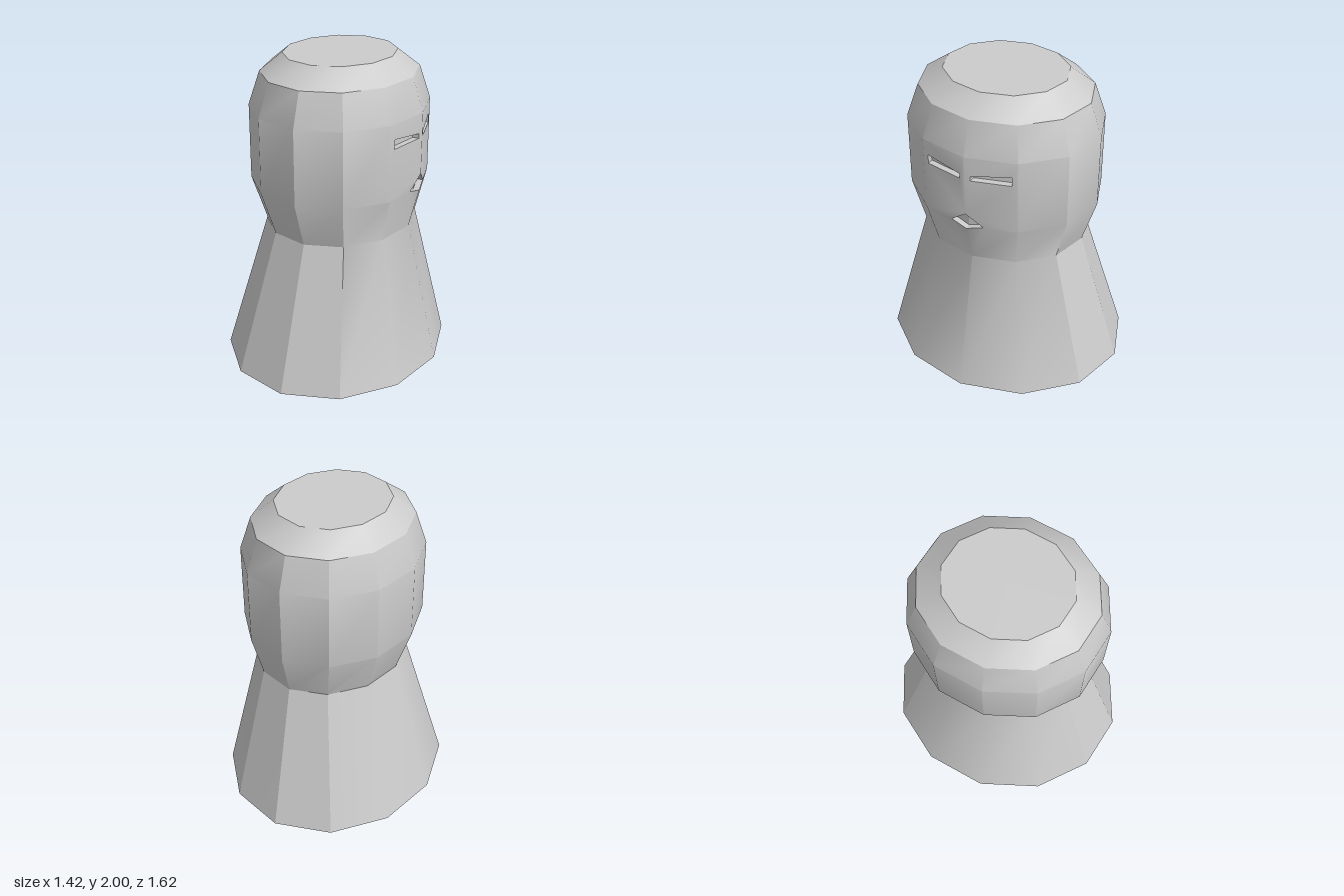
import * as THREE from 'three';
import { toCreasedNormals } from 'three/addons/utils/BufferGeometryUtils.js';

const SIDES = 12;
const PIT_DEPTH = 0.04;

// Body cross-sections: height, centre x, radius x, radius z
const rings = [
  [0, 0, 0.71, 0.81],
  [0.92, 0.032, 0.467, 0.535],
  [1.2, 0.02, 0.55, 0.62],
  [1.68, 0.02, 0.55, 0.62],
  [1.89, 0.02, 0.48, 0.545],
  [2, 0.02, 0.345, 0.39],
];

const snap = (v) => Math.round(v * 1e4) / 1e4;
const V3 = (x, y, z) => new THREE.Vector3(snap(x), snap(y), snap(z));

// Corner i of ring r
function corner(r, i) {
  const [y, cx, rx, rz] = rings[r];
  const a = ((i % SIDES) / SIDES) * Math.PI * 2;
  return V3(cx + rx * Math.cos(a), y, rz * Math.sin(a));
}

// Point on the two facets of the face (+x side) at a given z and y
function onFace(z, y) {
  const r = y < 1.2 ? 1 : 2;
  const t = (y - rings[r][0]) / (rings[r + 1][0] - rings[r][0]);
  const mid = corner(r, 0).lerp(corner(r + 1, 0), t);
  const edge = corner(r, 1).lerp(corner(r + 1, 1), t);
  return V3(mid.x + ((edge.x - mid.x) * Math.abs(z)) / edge.z, y, z);
}

function toGeometry(points) {
  return new THREE.BufferGeometry().setFromPoints(points);
}

// Push a triangle, turned so that it faces along dir
function pushFacing(out, a, b, c, dir) {
  const n = b.clone().sub(a).cross(c.clone().sub(a));
  if (n.dot(dir) >= 0) out.push(a, b, c);
  else out.push(a, c, b);
}

// Openings as [z, y] outlines on the +z half of the face
const eye = [[0.035, 1.525], [0.275, 1.525], [0.275, 1.585], [0.035, 1.555]];
const mouth = [[0, 1.285], [0.107, 1.2], [0, 1.175], [-0.107, 1.2]];
const [mouthTop, mouthSide, mouthBottom] = mouth;

// Facet of the face with cut-outs, s = 1 or -1 for the side
function pushPanel(out, outline, holes, s) {
  const toV2 = (list) => list.map(([z, y]) => new THREE.Vector2(z, y));
  const contour = toV2(outline);
  const cuts = holes.map(toV2);
  const points = [...contour, ...cuts.flat()].map((p) => onFace(s * p.x, p.y));
  const outward = new THREE.Vector3(1, 0, 0);
  for (const [a, b, c] of THREE.ShapeUtils.triangulateShape(contour, cuts)) {
    pushFacing(out, points[a], points[b], points[c], outward);
  }
}

function bodyGeometry() {
  const out = [];
  for (let r = 0; r < rings.length - 1; r++) {
    for (let i = 0; i < SIDES; i++) {
      const isFace = (r === 1 || r === 2) && (i === 0 || i === SIDES - 1);
      if (isFace) continue;
      const a = corner(r, i), b = corner(r, i + 1);
      const c = corner(r + 1, i), d = corner(r + 1, i + 1);
      out.push(b, a, c, b, c, d);
    }
  }
  // Flat bottom and crown
  const last = rings.length - 1;
  for (let i = 0; i < SIDES; i++) {
    out.push(V3(0, 0, 0), corner(0, i), corner(0, i + 1));
    out.push(V3(rings[last][1], rings[last][0], 0), corner(last, i + 1), corner(last, i));
  }
  // Face facets around the openings
  const zy = (r, i) => { const p = corner(r, i); return [p.z, p.y]; };
  for (const s of [1, -1]) {
    pushPanel(out, [mouthSide, zy(2, 1), zy(3, 1), zy(3, 0), mouthTop], [eye], s);
    // The lower facet ends just under the fold so its points stay on its own plane
    const lower = [zy(1, 0), zy(1, 1), zy(2, 1), mouthSide, mouthBottom];
    pushPanel(out, lower, [], s);
  }
  return toCreasedNormals(toGeometry(out), Math.PI / 6);
}

// Recess with side walls and a floor parallel to the face
function pitGeometry(outline, s) {
  const rim = outline.map(([z, y]) => onFace(s * z, y));
  const floor = rim.map((p) => V3(p.x - PIT_DEPTH, p.y, p.z));
  const centre = new THREE.Vector3();
  [...rim, ...floor].forEach((p) => centre.addScaledVector(p, 1 / (2 * rim.length)));
  const out = [];
  rim.forEach((a, i) => {
    const j = (i + 1) % rim.length;
    const inward = centre.clone().sub(a.clone().lerp(floor[j], 0.5));
    pushFacing(out, a, rim[j], floor[j], inward);
    pushFacing(out, a, floor[j], floor[i], inward);
  });
  const outward = new THREE.Vector3(1, 0, 0);
  for (let i = 1; i < floor.length - 1; i++) {
    pushFacing(out, floor[0], floor[i], floor[i + 1], outward);
  }
  const geometry = toGeometry(out);
  geometry.computeVertexNormals();
  return geometry;
}

export function createModel() {
  const group = new THREE.Group();
  group.name = 'figure';
  const material = new THREE.MeshStandardMaterial({ color: 0xcccccc });
  const add = (name, geometry) => {
    const mesh = new THREE.Mesh(geometry, material);
    mesh.name = name;
    group.add(mesh);
  };
  add('body', bodyGeometry());
  add('eyeFront', pitGeometry(eye, 1));
  add('eyeBack', pitGeometry(eye, -1));
  add('mouth', pitGeometry(mouth, 1));
  return group;
}
